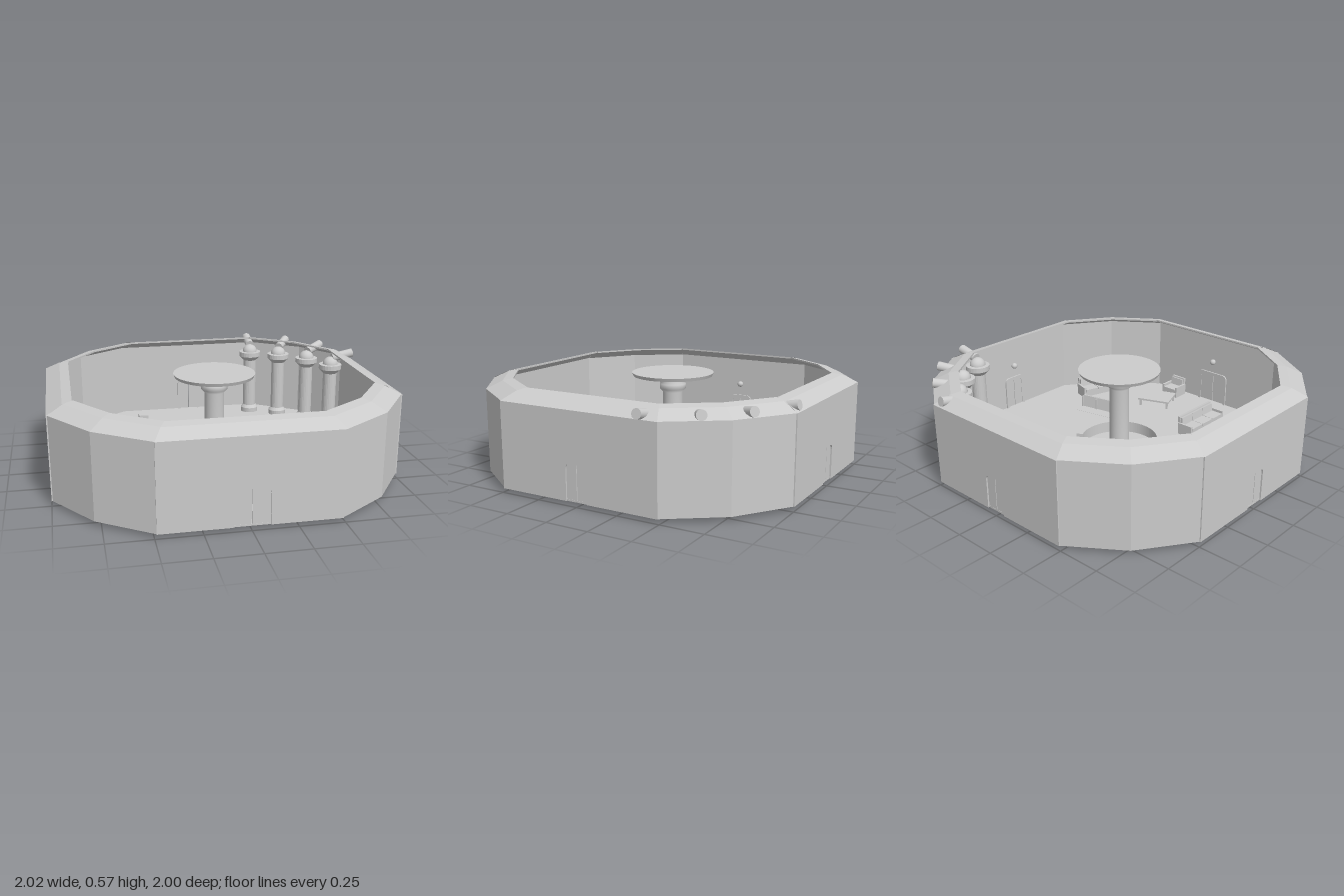
import * as THREE from 'three';

const mat = new THREE.MeshStandardMaterial({ color: 0xcccccc });
const flat = new THREE.MeshStandardMaterial({ color: 0xcccccc, flatShading: true, side: THREE.DoubleSide });
const FLOOR = 0.04;

function add(parent, name, geo, x = 0, y = 0, z = 0, material = mat) {
  const m = new THREE.Mesh(geo, material);
  m.name = name;
  m.position.set(x, y, z);
  parent.add(m);
  return m;
}
const box = (parent, name, w, h, d, x, y, z) => add(parent, name, new THREE.BoxGeometry(w, h, d), x, y, z);
const lathe = (pts, n = 32) => new THREE.LatheGeometry(pts.map(p => new THREE.Vector2(...p)), n);

// Group on the floor, turned so that its front looks along (fx, fz)
function place(parent, name, x, z, fx, fz, y = FLOOR) {
  const g = new THREE.Group();
  g.name = name;
  g.position.set(x, y, z);
  g.rotation.y = Math.atan2(fx, fz);
  parent.add(g);
  return g;
}

// Strip of walls: sweeps a [scale, height] profile along plan points
function shell(plan, profile, closed) {
  const pos = [];
  const at = (p, q) => [p[0] * q[0], q[1], p[1] * q[0]];
  const n = closed ? profile.length : profile.length - 1;
  for (let i = 0; i < plan.length - 1; i++) {
    for (let j = 0; j < n; j++) {
      const q = profile[j], r = profile[(j + 1) % profile.length];
      const a = at(plan[i], q), b = at(plan[i + 1], q), c = at(plan[i + 1], r), d = at(plan[i], r);
      pos.push(...a, ...b, ...c, ...a, ...c, ...d);
    }
  }
  const g = new THREE.BufferGeometry();
  g.setAttribute('position', new THREE.Float32BufferAttribute(pos, 3));
  g.computeVertexNormals();
  return g;
}

// Door outline with rounded upper corners
function doorPath(path, hw, top, r) {
  path.lineTo(-hw, 0.03);
  path.lineTo(-hw, top - r);
  path.quadraticCurveTo(-hw, top, -hw + r, top);
  path.lineTo(hw - r, top);
  path.quadraticCurveTo(hw, top, hw, top - r);
  path.lineTo(hw, 0.03);
}

const ROOF = [[1, 0.52], [0.914, 0.565], [0.86, 0.576], [0.86, 0.566], [0.91, 0.554], [0.98, 0.512]];

// One straight side: wall with doorway, roof rim, sliding door, inner frame, lamp
function side(parent, name, angle, hw) {
  const g = new THREE.Group();
  g.name = name;
  g.rotation.y = angle;
  parent.add(g);
  const wall = new THREE.Shape();
  wall.moveTo(-0.49, 0.03);
  doorPath(wall, hw, 0.235, 0.03);
  wall.lineTo(0.49, 0.03);
  wall.lineTo(0.49, 0.52);
  wall.lineTo(-0.49, 0.52);
  add(g, 'wall', new THREE.ExtrudeGeometry(wall, { depth: 0.02, bevelEnabled: false, curveSegments: 5 }), 0, 0, 0.98);
  add(g, 'roofRim', shell([[-0.49, 1], [0.49, 1]], ROOF, true), 0, 0, 0, flat);
  for (const s of [-1, 1]) box(g, 'doorLeaf', hw - 0.002, 0.207, 0.008, s * (hw / 2 + 0.001), 0.132, 0.987);
  const frame = new THREE.Shape();
  frame.moveTo(-hw - 0.014, 0.03);
  doorPath(frame, hw + 0.014, 0.255, 0.035);
  frame.lineTo(hw, 0.03);
  const hole = new THREE.Path();
  hole.moveTo(-hw + 0.002, 0.032);
  hole.lineTo(-hw + 0.002, 0.233);
  hole.lineTo(hw - 0.002, 0.233);
  hole.lineTo(hw - 0.002, 0.032);
  frame.holes.push(hole);
  add(g, 'innerDoorFrame', new THREE.ExtrudeGeometry(frame, { depth: 0.01, bevelEnabled: false, curveSegments: 5 }), 0, 0, 0.97);
  add(g, 'wallLamp', new THREE.SphereGeometry(0.02, 16, 12), 0, 0.335, 0.968);
}

// Seat with arms, back and a row of cushions; front is +z
function sofa(parent, name, x, z, fx, fz, seats, width) {
  const g = place(parent, name, x, z, fx, fz);
  const cw = (width - 0.028) / seats;
  box(g, 'base', width - 0.02, 0.035, 0.105, 0, 0.026, 0);
  box(g, 'backrest', width - 0.02, 0.1, 0.018, 0, 0.065, -0.05).rotation.x = -0.12;
  for (const s of [-1, 1]) {
    box(g, 'arm', 0.014, 0.075, 0.105, s * (width / 2 - 0.007), 0.0375, 0);
  }
  for (let i = 0; i < seats; i++) {
    const cx = (i - (seats - 1) / 2) * cw;
    box(g, 'seatCushion', cw - 0.003, 0.016, 0.09, cx, 0.051, 0.01);
    box(g, 'backCushion', cw - 0.003, 0.05, 0.014, cx, 0.083, -0.036).rotation.x = -0.12;
  }
}

function table(parent, x, z, w, d, turn) {
  const g = place(parent, 'coffeeTable', x, z, Math.sin(turn), Math.cos(turn));
  box(g, 'tableTop', w, 0.012, d, 0, 0.05, 0);
  for (const sx of [-1, 1]) for (const sz of [-1, 1]) {
    box(g, 'tableLeg', 0.012, 0.045, 0.012, sx * (w / 2 - 0.015), 0.022, sz * (d / 2 - 0.015));
  }
}

// Desk with a curved front end and two monitors
function desk(parent, x) {
  const g = place(parent, 'controlDesk', x, -0.39, 0, 1);
  const s = new THREE.Shape();
  s.moveTo(-0.17, 0);
  s.lineTo(0.17, 0);
  s.quadraticCurveTo(0.155, 0.06, 0.08, 0.07);
  s.lineTo(-0.17, 0.07);
  const geo = new THREE.ExtrudeGeometry(s, { depth: 0.11, bevelEnabled: false, curveSegments: 8 });
  geo.rotateY(-Math.PI / 2);
  add(g, 'deskBody', geo, 0.055, 0, 0);
  for (const z of [-0.105, 0.03]) box(g, 'monitor', 0.06, 0.06, 0.06, 0.005, 0.1, z);
}

// Domed column with a barrel pointing out through the roof rim
function turret(parent, x, z, fx, fz) {
  const g = place(parent, 'turret', x, z, fx, fz, 0);
  add(g, 'column', lathe([[0, FLOOR], [0.06, FLOOR], [0.06, 0.07], [0.045, 0.09], [0.045, 0.42], [0.075, 0.45],
    [0.075, 0.48], [0.05, 0.482]], 24), 0, 0, 0, new THREE.MeshStandardMaterial({ color: 0xcccccc, flatShading: true }));
  add(g, 'dome', new THREE.SphereGeometry(0.05, 24, 8, 0, Math.PI * 2, 0, Math.PI / 2), 0, 0.48, 0);
  const barrel = add(g, 'barrel', new THREE.CylinderGeometry(0.028, 0.028, 0.14, 20), 0, 0.538, 0.08);
  barrel.rotation.x = Math.PI / 2 - 0.2;
}

export function createModel() {
  const root = new THREE.Group();
  root.name = 'loungeRoom';

  // Outer walls: four straight sides and four folded corners
  const corner = [[0.49, 1], [0.79, 0.79], [1, 0.49]];
  const plan = [];
  for (let i = 0; i < 4; i++) {
    const a = i * Math.PI / 2;
    side(root, ['frontSide', 'leftSide', 'backSide', 'rightSide'][i], a, i === 0 ? 0.1 : 0.065);
    const m = add(root, 'cornerWall', shell(corner, [[1, 0.03], ...ROOF, [0.98, 0.03]], true), 0, 0, 0, flat);
    m.rotation.y = a;
    m.scale.set(0.995, 1, 0.995);
    for (const [x, z] of corner) {
      const c = Math.round(Math.cos(a)), s = Math.round(Math.sin(a));
      plan.push(new THREE.Vector2(x * c + z * s, -(z * c - x * s)));
    }
  }
  const floor = new THREE.ExtrudeGeometry(new THREE.Shape(plan), { depth: 0.01, bevelEnabled: false });
  floor.rotateX(-Math.PI / 2);
  floor.scale(0.992, 1, 0.992);
  add(root, 'floor', floor, 0, 0.03, 0);

  // Central pillar, round canopy and curved counter with an entry gap
  add(root, 'pillar', lathe([[0, FLOOR], [0.075, FLOOR], [0.075, 0.06], [0.06, 0.075], [0.06, 0.45], [0.08, 0.47],
    [0.08, 0.5], [0.065, 0.51], [0.065, 0.55]]));
  add(root, 'canopy', new THREE.CylinderGeometry(0.248, 0.24, 0.02, 48), 0, 0.56, 0);
  const counter = new THREE.Shape();
  const from = Math.PI / 3, to = Math.PI / 6;
  counter.absarc(0, 0, 0.275, from, to + Math.PI * 2, false);
  counter.absarc(0, 0, 0.235, to + Math.PI * 2, from, true);
  const ring = new THREE.ExtrudeGeometry(counter, { depth: 0.07, bevelEnabled: false, curveSegments: 40 });
  ring.rotateX(-Math.PI / 2);
  add(root, 'counter', ring, 0, FLOOR, 0);
  add(root, 'stool', lathe([[0, 0.005], [0.02, 0.015], [0.008, 0.03], [0.008, 0.08], [0.03, 0.085], [0.03, 0.095], [0, 0.095]], 16),
    0.08, 0, -0.18);

  // Desks
  desk(root, -0.745);
  desk(root, -0.39);

  // Seating
  sofa(root, 'rightSofa', -0.72, 0.58, 1, 0, 3, 0.35);
  sofa(root, 'middleSofa', -0.2, 0.58, -1, 0, 3, 0.35);
  sofa(root, 'leftSofa', 0.7, 0.58, -0.955, -0.296, 3, 0.33);
  sofa(root, 'armchair', -0.595, 0.295, 0, -1, 1, 0.125);
  sofa(root, 'armchair', -0.435, 0.295, -0.4, -0.9, 1, 0.125);
  sofa(root, 'armchair', 0.28, 0.9, 0, -1, 1, 0.125);
  table(root, -0.46, 0.59, 0.175, 0.225, 0);
  table(root, 0.265, 0.69, 0.22, 0.175, 0.37);

  // Low bench set into the floor
  const bench = place(root, 'sunkenBench', 0.45, 0.32, -0.21, -0.978, 0);
  box(bench, 'benchSeat', 0.33, 0.02, 0.1, 0, 0.031, 0.01);
  for (let i = -1; i <= 1; i++) box(bench, 'benchBack', 0.106, 0.085, 0.02, i * 0.11, 0.075, -0.035).rotation.x = -0.15;
  for (const x of [-0.165, -0.055, 0.055, 0.165]) box(bench, 'benchPost', 0.007, 0.09, 0.05, x, 0.07, -0.037);

  // Corner turrets
  turret(root, 0.425, -0.84, 0.05, -1);
  turret(root, 0.605, -0.735, 0.57, -0.82);
  turret(root, 0.765, -0.585, 0.82, -0.57);
  turret(root, 0.87, -0.385, 1, 0);
  return root;
}
